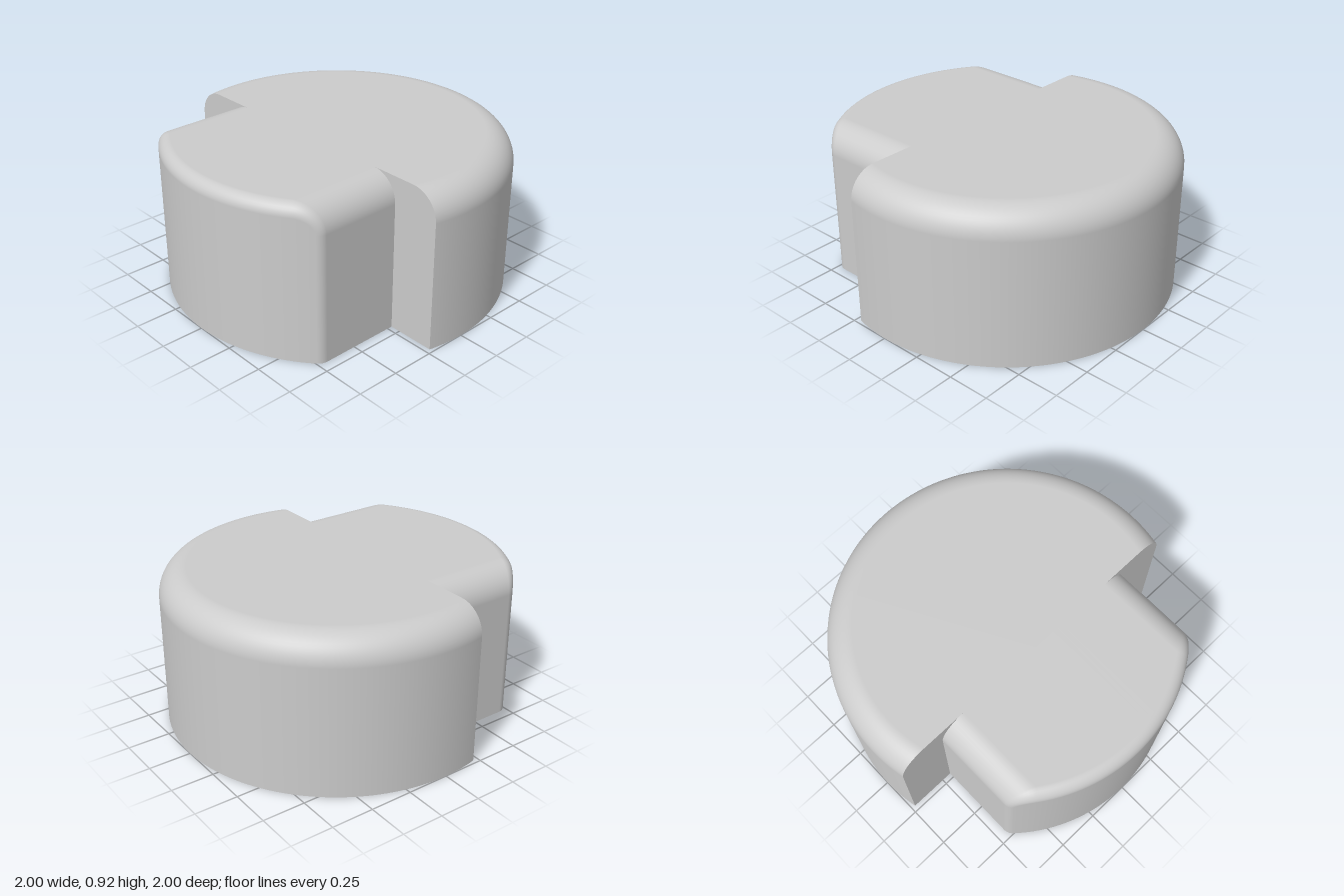
import * as THREE from 'three';

const H = 0.92;      // height
const F = 0.16;      // large top round
const CUT = -0.22;   // plane where the round body steps in to the tongue
const W = 0.69;      // tongue half width
const R = 0.07;      // round along the tongue's end edge

const V = (x, y, z) => new THREE.Vector3(x, y, z);
const vert = (p, n) => ({ p, n });

// Skin a grid of {p, n} rows; triangles are wound to agree with the normals.
function skin(rows) {
  const pos = [], nor = [];
  const tri = (a, b, c) => {
    const g = V().subVectors(b.p, a.p).cross(V().subVectors(c.p, a.p));
    if (g.lengthSq() < 1e-16) return;
    const flip = g.dot(V().add(a.n).add(b.n).add(c.n)) < 0;
    for (const v of flip ? [a, c, b] : [a, b, c]) {
      pos.push(...v.p.toArray());
      nor.push(...v.n.toArray());
    }
  };
  for (let i = 0; i + 1 < rows.length; i++) {
    for (let j = 0; j + 1 < rows[i].length; j++) {
      const [a, b, c, d] = [rows[i][j], rows[i][j + 1], rows[i + 1][j + 1], rows[i + 1][j]];
      tri(a, b, c);
      tri(a, c, d);
    }
  }
  const g = new THREE.BufferGeometry();
  g.setAttribute('position', new THREE.Float32BufferAttribute(pos, 3));
  g.setAttribute('normal', new THREE.Float32BufferAttribute(nor, 3));
  return g;
}

// Quarter-round profile: offset from the full radius, height and angle
const quarter = Array.from({ length: 13 }, (_, i) => {
  const t = (i / 12) * Math.PI / 2;
  return { t, inset: F * (1 - Math.cos(t)), y: H - F + F * Math.sin(t) };
});

// Round body: rings clipped at the cut plane, closed above and below by fans
function bodyGeometry() {
  const N = 128;
  const ring = (r, y, normal) => Array.from({ length: N + 1 }, (_, j) => {
    const a = Math.acos(CUT / r) * (2 * j / N - 1);
    return vert(V(r * Math.cos(a), y, r * Math.sin(a)), normal(a));
  });
  const fan = (y, n) => Array.from({ length: N + 1 }, () => vert(V(CUT, y, 0), n));
  const up = V(0, 1, 0), down = V(0, -1, 0);
  const out = t => a => V(Math.cos(a) * Math.cos(t), Math.sin(t), Math.sin(a) * Math.cos(t));
  return skin([
    fan(0, down), ring(1, 0, () => down), ring(1, 0, out(0)),
    ...quarter.map(q => ring(1 - q.inset, q.y, out(q.t))),
    ring(1 - F, H, () => up), fan(H, up),
  ]);
}

// Flat step face between the tongue side and the body outline
function stepGeometry(side) {
  const n = V(-1, 0, 0);
  const row = (inset, y) => [W - inset, Math.sqrt((1 - inset) ** 2 - CUT ** 2)]
    .map(z => vert(V(CUT, y, side * z), n));
  return skin([row(0, 0), ...quarter.map(q => row(q.inset, q.y))]);
}

// Tongue: rounded section run along x, with a rolling round onto the curved end
function tongueColumns() {
  const half = [vert(V(0, 0, W), V(0, 0, 1)),
    ...quarter.map(q => vert(V(0, q.y, W - q.inset), V(0, Math.sin(q.t), Math.cos(q.t))))];
  const top = Array.from({ length: 31 }, (_, i) =>
    vert(V(0, H, (W - F) * (1 - (i + 1) / 16)), V(0, 1, 0)));
  const mirrored = half.map(({ p, n }) => vert(V(0, p.y, -p.z), V(0, n.y, -n.z))).reverse();
  return [...half, ...top, ...mirrored].map(({ p, n }) => {
    const c = p.clone().addScaledVector(n, -R);
    c.x = -Math.sqrt((1 - R) ** 2 - c.z ** 2);
    const m = V(c.x, 0, c.z).normalize();
    const w = n.angleTo(m);
    const col = [vert(V(CUT, p.y, p.z), n)];
    for (let k = 0; k <= 8; k++) {
      const s = k / 8;
      const d = n.clone().multiplyScalar(Math.sin((1 - s) * w))
        .addScaledVector(m, Math.sin(s * w)).normalize();
      col.push(vert(c.clone().addScaledVector(d, R), d));
    }
    const end = col[col.length - 1].p;
    col.push(vert(V(end.x, 0, end.z), m));
    return col;
  });
}

// Underside of the tongue, following the lower edge of its skin
function tongueBaseGeometry(cols) {
  const first = cols[0], last = cols[cols.length - 1];
  const edge = [...first, ...cols.map(c => c[c.length - 1]), ...last.slice().reverse()]
    .map(v => new THREE.Vector2(v.p.x, v.p.z))
    .filter((p, i, a) => i === 0 || p.distanceTo(a[i - 1]) > 1e-5);
  return new THREE.ShapeGeometry(new THREE.Shape(edge)).rotateX(Math.PI / 2);
}

export function createModel() {
  const group = new THREE.Group();
  group.name = 'roundBlockWithTongue';
  const material = new THREE.MeshStandardMaterial({ color: 0xcccccc });
  const add = (name, geometry) => {
    const mesh = new THREE.Mesh(geometry, material);
    mesh.name = name;
    group.add(mesh);
  };
  const cols = tongueColumns();
  add('roundBody', bodyGeometry());
  add('leftStepFace', stepGeometry(1));
  add('rightStepFace', stepGeometry(-1));
  add('tongue', skin(cols));
  add('tongueBase', tongueBaseGeometry(cols));
  // Step faces lie at +z (front) and -z (back)
  group.getObjectByName('leftStepFace').name = 'frontStepFace';
  group.getObjectByName('rightStepFace').name = 'backStepFace';
  return group;
}
